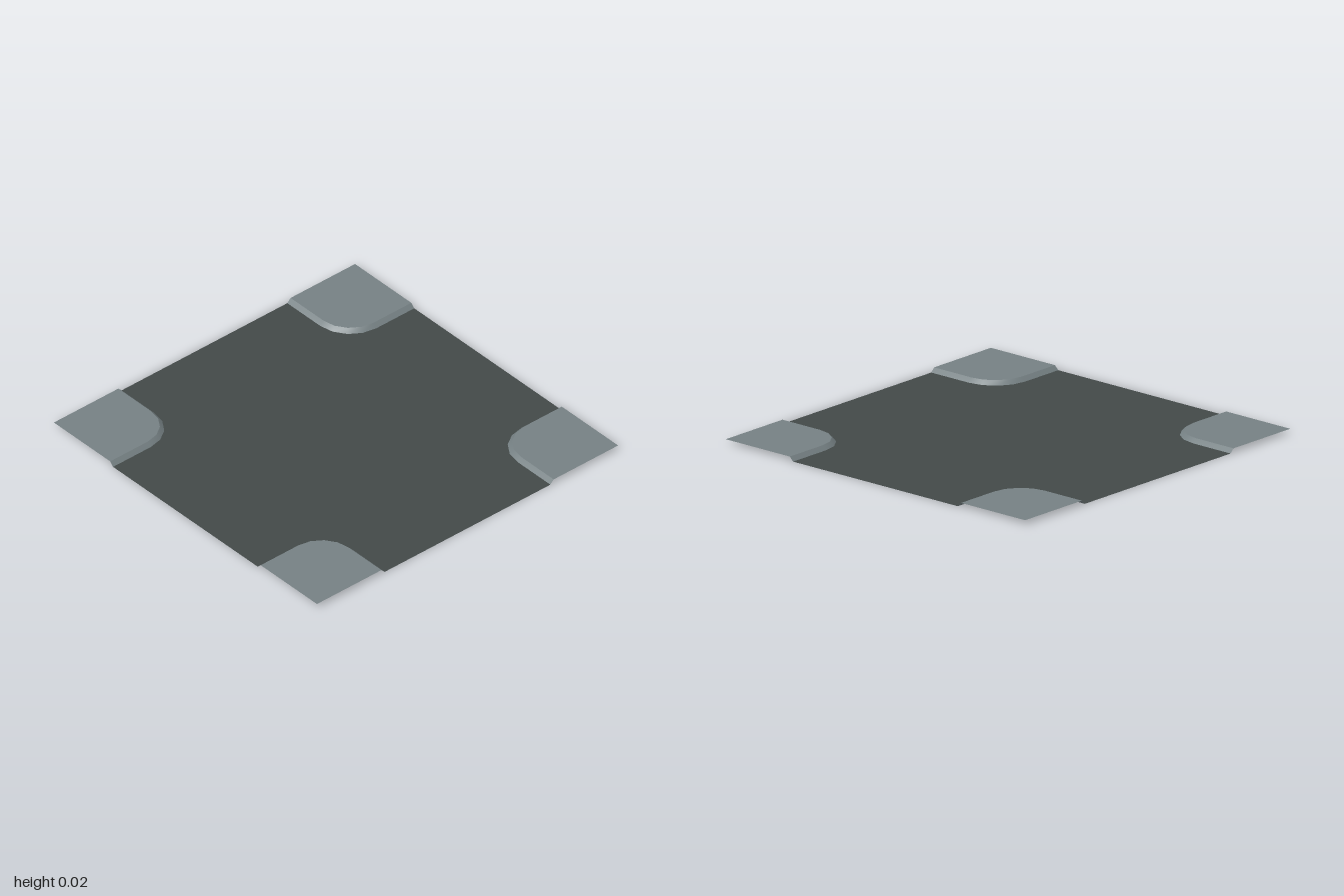
import * as THREE from 'three';

const CURB_HEIGHT = 0.022;
const CENTRE = 0.75;        // centre of each rounded corner
const OUTER = 0.2;          // radius at the foot of the curb
const INNER = 0.178;        // radius at the top of the curb
const STEPS = 4;

// Rounded corner line, running from the right edge to the far edge
function cornerLine(radius) {
  const points = [new THREE.Vector2(1, CENTRE - radius)];
  for (let i = 0; i <= STEPS; i++) {
    const a = -Math.PI / 2 - (i / STEPS) * (Math.PI / 2);
    points.push(new THREE.Vector2(CENTRE + radius * Math.cos(a), CENTRE + radius * Math.sin(a)));
  }
  points.push(new THREE.Vector2(CENTRE - radius, 1));
  return points;
}

// Flat sheet facing up
function sheet(points, height) {
  return new THREE.ShapeGeometry(new THREE.Shape(points)).rotateX(-Math.PI / 2).translate(0, height, 0);
}

// Sloping strip between the foot and the top of the curb
function curbStrip() {
  const foot = cornerLine(OUTER);
  const top = cornerLine(INNER);
  const positions = [];
  const index = [];
  foot.forEach((p, i) => {
    positions.push(p.x, 0, -p.y, top[i].x, CURB_HEIGHT, -top[i].y);
    if (i < foot.length - 1) {
      const a = i * 2;
      index.push(a, a + 1, a + 2, a + 1, a + 3, a + 2);
    }
  });
  const geometry = new THREE.BufferGeometry();
  geometry.setAttribute('position', new THREE.Float32BufferAttribute(positions, 3));
  geometry.setIndex(index);
  geometry.computeVertexNormals();
  return geometry;
}

export function createModel() {
  const asphalt = new THREE.MeshStandardMaterial({ color: 0x424948, side: THREE.DoubleSide });
  asphalt.name = 'asphalt';
  const paving = new THREE.MeshStandardMaterial({ color: 0x758083, side: THREE.DoubleSide });
  paving.name = 'paving';

  const model = new THREE.Group();
  model.name = 'roadCrossing';
  const add = (parent, geometry, material, name) => {
    const mesh = new THREE.Mesh(geometry, material);
    mesh.name = name;
    parent.add(mesh);
  };

  // Cross-shaped road surface
  const outline = [];
  const origin = new THREE.Vector2();
  for (let k = 0; k < 4; k++) {
    cornerLine(OUTER).forEach((p) => outline.push(p.rotateAround(origin, k * Math.PI / 2)));
  }
  add(model, sheet(outline, 0), asphalt, 'road');

  // Four raised pavement corners with sloping curbs
  const pavementGeometry = sheet([...cornerLine(INNER), new THREE.Vector2(1, 1)], CURB_HEIGHT);
  const curbGeometry = curbStrip();
  for (let k = 0; k < 4; k++) {
    const corner = new THREE.Group();
    corner.name = `pavementCorner${k + 1}`;
    add(corner, pavementGeometry, paving, 'pavement');
    add(corner, curbGeometry, paving, 'curb');
    corner.rotation.y = k * Math.PI / 2;
    model.add(corner);
  }
  return model;
}
